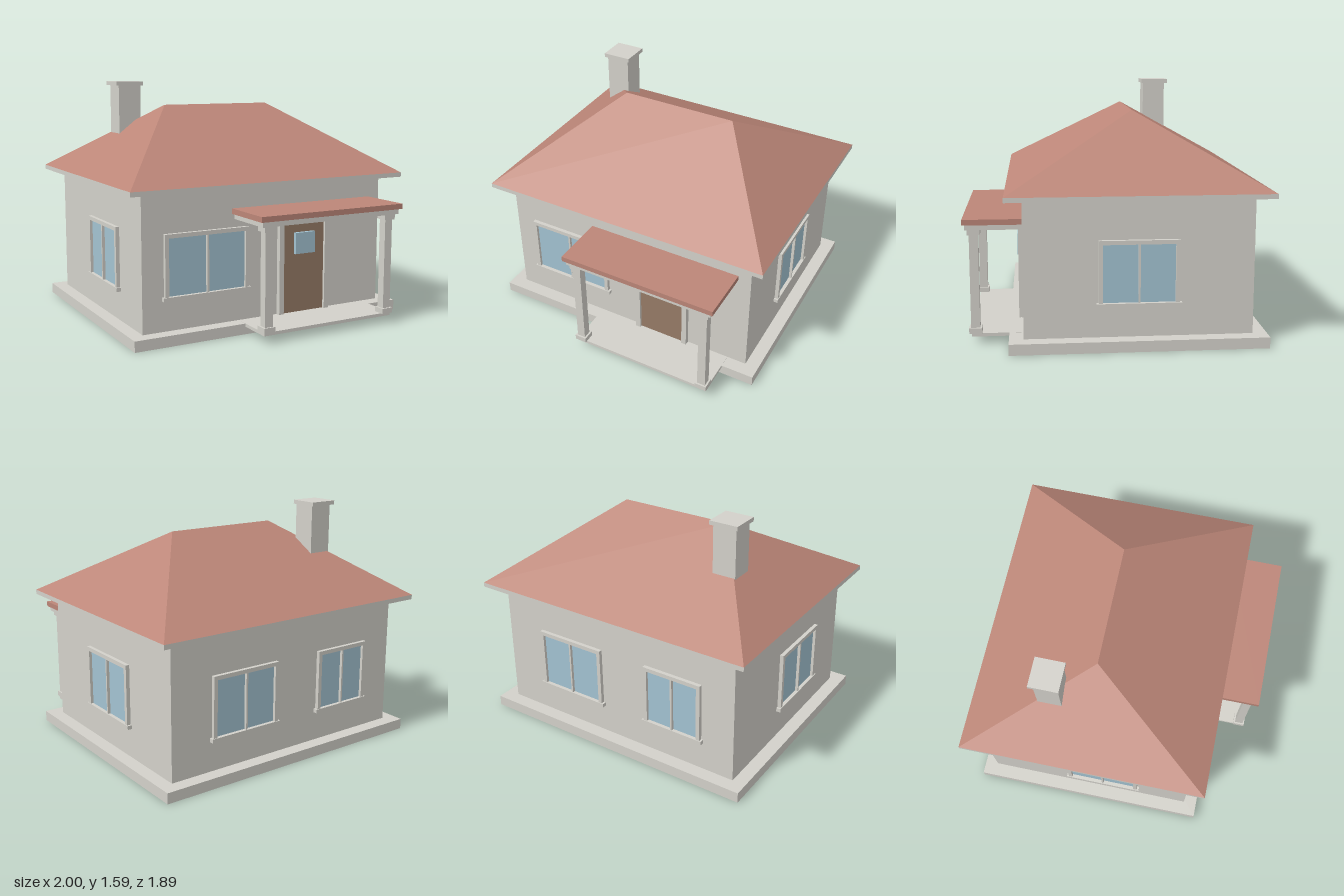
import * as THREE from 'three';

const mat = (name, color) => {
  const m = new THREE.MeshStandardMaterial({ color });
  m.name = name;
  return m;
};

export function createModel() {
  const house = new THREE.Group();
  house.name = 'house';
  const plaster = mat('plaster', 0xd3d1ca);
  const tile = mat('roofTile', 0xbc8678);
  const wood = mat('doorWood', 0x967b67);
  const glass = mat('glass', 0xa3c3d2);

  const add = (name, geometry, material, parent = house) => {
    const mesh = new THREE.Mesh(geometry, material);
    mesh.name = name;
    parent.add(mesh);
    return mesh;
  };

  // Box given by its extents on each axis
  const box = (name, material, [x0, x1], [y0, y1], [z0, z1], parent = house) => {
    const mesh = add(name, new THREE.BoxGeometry(x1 - x0, y1 - y0, z1 - z0), material, parent);
    mesh.position.set((x0 + x1) / 2, (y0 + y1) / 2, (z0 + z1) / 2);
    return mesh;
  };

  const rect = (path, x0, x1, y0, y1) =>
    path.moveTo(x0, y0).lineTo(x1, y0).lineTo(x1, y1).lineTo(x0, y1).closePath();

  // Body
  box('foundation', plaster, [-0.98, 0.98], [0, 0.07], [-0.93, 0.675]);
  box('walls', plaster, [-0.89, 0.89], [0.07, 0.94], [-0.84, 0.585]);
  box('eaves', plaster, [-1, 1], [0.94, 0.97], [-0.945, 0.69]);

  // Hipped roof: four eave corners and two ridge ends
  const [a, b, c, d] = [[-1, 0.97, 0.69], [1, 0.97, 0.69], [1, 0.97, -0.945], [-1, 0.97, -0.945]];
  const [l, r] = [[-0.4, 1.43, -0.128], [0.4, 1.43, -0.128]];
  const faces = [a, b, r, a, r, l, c, d, l, c, l, r, b, c, r, d, a, l];
  const roof = new THREE.BufferGeometry();
  roof.setAttribute('position', new THREE.Float32BufferAttribute(faces.flat(), 3));
  roof.computeVertexNormals();
  add('hippedRoof', roof, tile);

  // Chimney
  box('chimney', plaster, [-0.66, -0.5], [1.0, 1.56], [-0.47, -0.312]);
  box('chimneyCap', plaster, [-0.68, -0.485], [1.56, 1.587], [-0.493, -0.3]);

  // Two-pane window: frame, sill and glass, facing local +z
  const addWindow = (name, width, x, z, turn) => {
    const group = new THREE.Group();
    group.name = name;
    const h = width / 2, bottom = 0.285, top = 0.683, rim = 0.026, bar = 0.006;
    const shape = rect(new THREE.Shape(), -h, h, bottom, top);
    for (const [x0, x1] of [[-h + rim, -bar], [bar, h - rim]]) {
      shape.holes.push(rect(new THREE.Path(), x0, x1, bottom + 0.005, top - rim));
      box('pane', glass, [x0, x1], [bottom + 0.005, top - rim], [0, 0.006], group);
    }
    add('windowFrame', new THREE.ExtrudeGeometry(shape, { depth: 0.025, bevelEnabled: false }), plaster, group);
    box('sill', plaster, [-h - 0.014, h + 0.014], [0.265, 0.29], [0, 0.03], group);
    group.position.set(x, 0, z);
    group.rotation.y = turn;
    house.add(group);
  };
  addWindow('frontWindow', 0.59, -0.45, 0.585, 0);
  addWindow('leftWindow', 0.5, 0.89, -0.125, Math.PI / 2);
  addWindow('rightWindow', 0.5, -0.89, -0.02, -Math.PI / 2);
  addWindow('backWindowWide', 0.5, 0.35, -0.84, Math.PI);
  addWindow('backWindowNarrow', 0.42, -0.45, -0.84, Math.PI);

  // Door
  const frame = new THREE.Shape([[0.07, 0.07], [0.105, 0.07], [0.105, 0.7], [0.425, 0.7],
    [0.425, 0.07], [0.46, 0.07], [0.46, 0.735], [0.07, 0.735]].map(p => new THREE.Vector2(...p)));
  add('doorFrame', new THREE.ExtrudeGeometry(frame, { depth: 0.033, bevelEnabled: false }), plaster)
    .position.z = 0.585;
  box('door', wood, [0.105, 0.425], [0.07, 0.7], [0.58, 0.6]);
  box('doorWindow', glass, [0.19, 0.342], [0.468, 0.61], [0.6, 0.624]);

  // Porch floor and step
  box('porchFloor', plaster, [-0.22, 0.757], [0.05, 0.071], [0.6, 0.907]);
  box('porchStep', plaster, [0.035, 0.5], [0.033, 0.05], [0.6, 0.817]);

  // Porch posts with square feet and capitals
  for (const [side, x] of [['right', -0.19], ['left', 0.722]]) {
    const block = (name, w, y0, y1) =>
      box(side + name, plaster, [x - w, x + w], [y0, y1], [0.884 - w, 0.884 + w]);
    block('PostFoot', 0.04, 0.07, 0.105);
    block('Post', 0.028, 0.105, 0.7);
    block('PostCapital', 0.04, 0.7, 0.735);
  }

  // Porch canopy
  box('porchCeiling', plaster, [-0.25, 0.783], [0.735, 0.769], [0.585, 0.935]);
  box('porchRoof', tile, [-0.268, 0.802], [0.769, 0.804], [0.585, 0.95]);

  return house;
}
